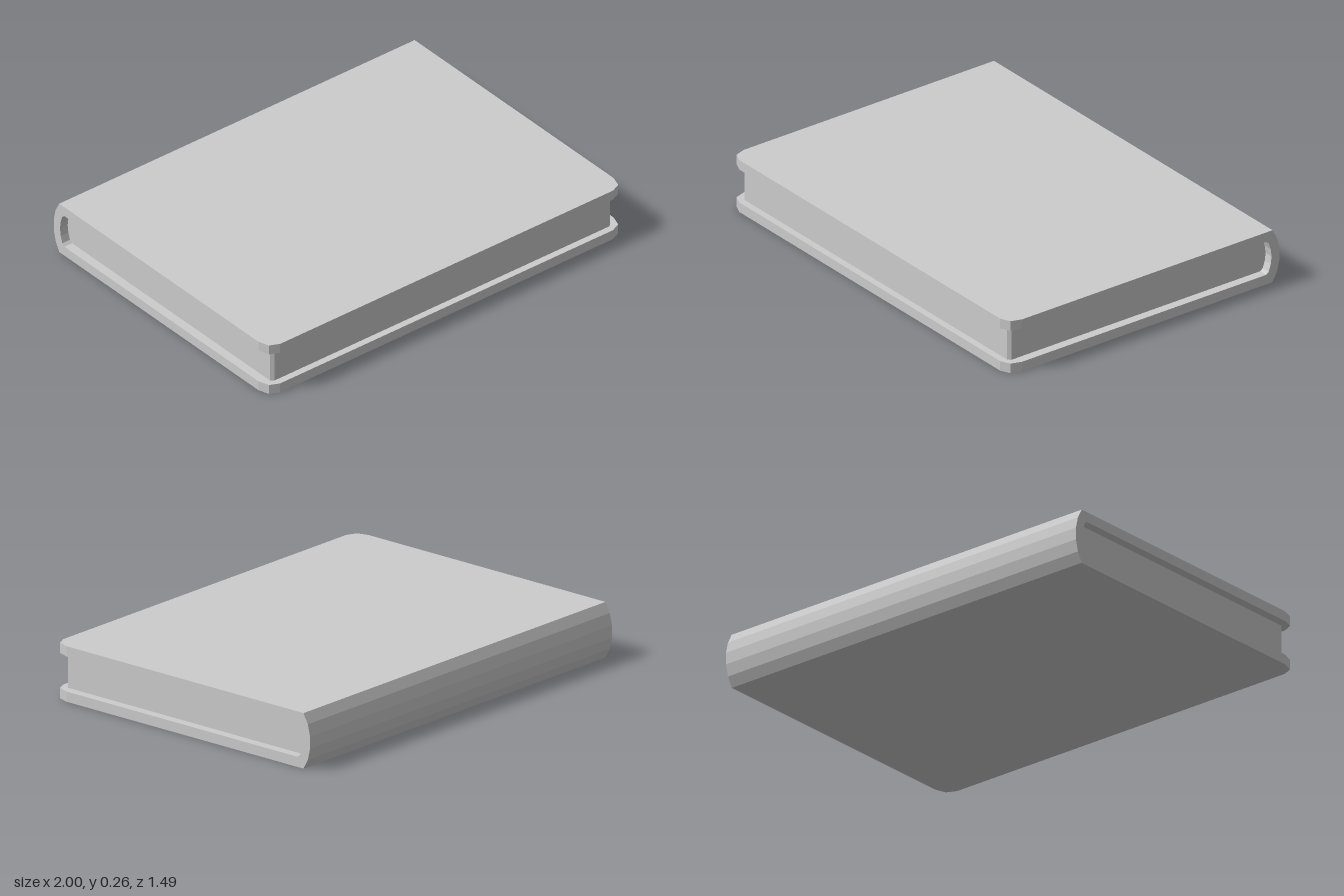
import * as THREE from 'three';

const H = 0.256, T = 0.047;      // closed height, board thickness
const HINGE = -0.67;             // z where the flat boards meet the spine

// Extrudes a side profile of [z, y] points across x.
function acrossX(points, halfWidth) {
  const shape = new THREE.Shape(points.map(([z, y]) => new THREE.Vector2(-z, y)));
  return new THREE.ExtrudeGeometry(shape, { depth: halfWidth * 2, bevelEnabled: false })
    .rotateY(Math.PI / 2).translate(-halfWidth, 0, 0);
}

// Extrudes a plan outline upwards; takes the +x half as [x, z] points and mirrors it.
function upwards(half, y, height) {
  const all = [...half, ...half.map(([x, z]) => [-x, z]).reverse()];
  const shape = new THREE.Shape(all.map(([x, z]) => new THREE.Vector2(x, -z)));
  return new THREE.ExtrudeGeometry(shape, { depth: height, bevelEnabled: false })
    .rotateX(-Math.PI / 2).translate(0, y, 0);
}

export function createModel() {
  const book = new THREE.Group();
  book.name = 'book';
  const grey = new THREE.MeshStandardMaterial({ color: 0xcccccc });
  grey.name = 'plain grey';
  const add = (name, geometry) => {
    const mesh = new THREE.Mesh(geometry, grey);
    mesh.name = name;
    book.add(mesh);
  };

  // Cover boards with rounded front corners
  const board = [[1, HINGE], [1, 0.67], [0.983, 0.722], [0.937, 0.743]];
  add('backCover', upwards(board, 0, T));
  add('frontCover', upwards(board, H - T, T));

  // Rounded spine joining the boards
  const outer = [[-0.705, 0], [-0.73, 0.046], [-0.743, 0.1],
    [-0.743, H - 0.1], [-0.73, H - 0.046], [-0.705, H]];
  const inner = [[HINGE, H - T], [-0.684, 0.198], [-0.695, 0.165], [-0.7, 0.128],
    [-0.695, 0.091], [-0.684, 0.058], [HINGE, T]];
  add('spine', acrossX([[HINGE, 0], ...outer, [HINGE, H], ...inner], 1));

  // Page block with clipped front corners, and its rounded back edge
  const page = [[0.957, HINGE], [0.957, 0.697], [0.943, 0.71]];
  add('pages', upwards(page, T, H - 2 * T));
  add('pagesBack', acrossX(inner, 0.957));

  return book;
}
